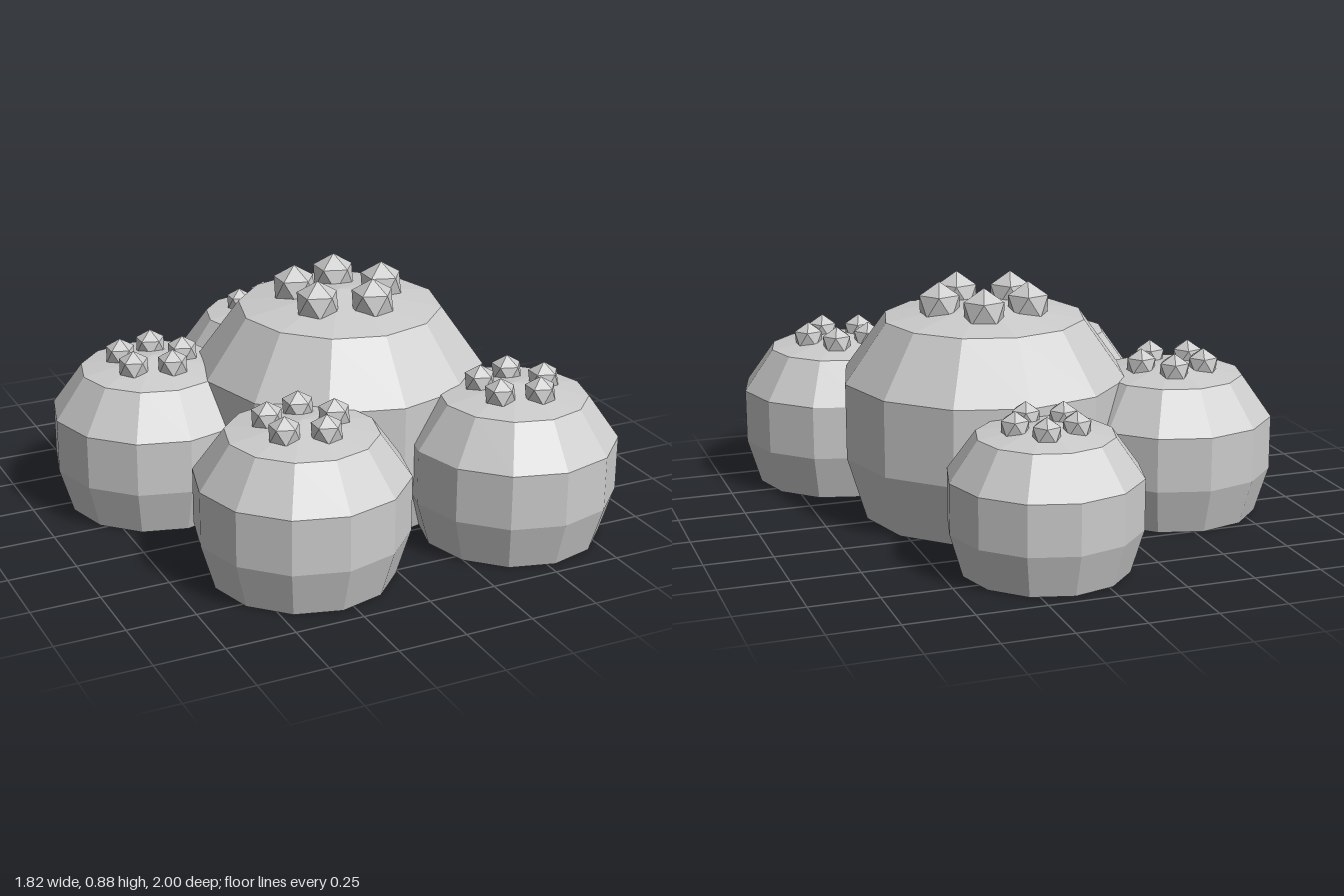
import * as THREE from 'three';

export function createModel() {
  const model = new THREE.Group();
  model.name = 'cactusCluster';
  const grey = new THREE.MeshStandardMaterial({ color: 0xcccccc, flatShading: true });
  grey.name = 'grey';

  // Unit-radius dome profile, closed underneath, with a shallow pointed cap
  const profile = [[0, 0], [0.865, 0], [1, 0.45], [1, 0.98], [0.705, 1.39], [0, 1.5]]
    .map(([r, y]) => new THREE.Vector2(r, y));
  const domeGeometry = new THREE.LatheGeometry(profile, 12);

  // Icosahedron turned so that one corner points straight up
  const budGeometry = new THREE.IcosahedronGeometry(0.161, 0);
  budGeometry.rotateZ(Math.atan2(2, 1 + Math.sqrt(5)));
  budGeometry.rotateY(Math.PI);

  // One dome carrying a ring of five buds
  function addDome(name, x, z, radius) {
    const group = new THREE.Group();
    group.name = name;
    const dome = new THREE.Mesh(domeGeometry, grey);
    dome.name = 'dome';
    group.add(dome);
    for (let i = 0; i < 5; i++) {
      const a = (i / 5) * Math.PI * 2;
      const bud = new THREE.Mesh(budGeometry, grey);
      bud.name = 'bud';
      bud.position.set(0.32 * Math.cos(a), 1.49, 0.32 * Math.sin(a));
      group.add(bud);
    }
    group.position.set(x, 0, z);
    group.scale.setScalar(radius);
    model.add(group);
  }

  addDome('mainDome', 0.123, 0.04, 0.532);
  addDome('backDome', 0.135, -0.655, 0.345);
  addDome('rightDome', -0.535, -0.185, 0.376);
  addDome('frontRightDome', -0.294, 0.605, 0.379);
  addDome('frontLeftDome', 0.53, 0.618, 0.379);

  return model;
}
